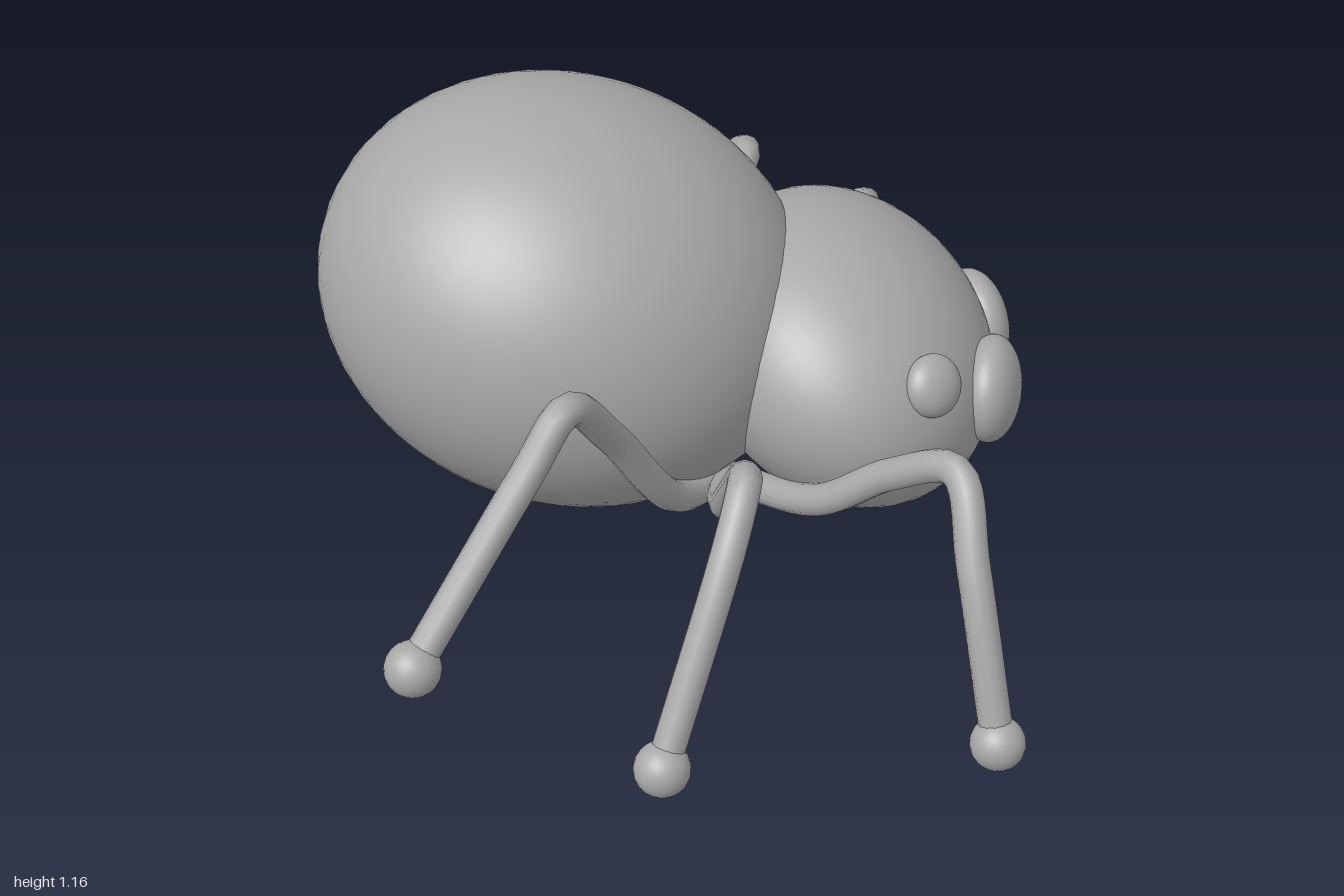
import * as THREE from 'three';

const V = (p) => new THREE.Vector3(...p);

export function createModel() {
  const spider = new THREE.Group();
  spider.name = 'spider';
  const grey = new THREE.MeshStandardMaterial({ color: 0xa8a8a8 });
  grey.name = 'body grey';

  const add = (name, geometry, parent = spider) => {
    const mesh = new THREE.Mesh(geometry, grey);
    mesh.name = name;
    parent.add(mesh);
    return mesh;
  };

  // Ellipsoid with its radii baked in, so normals stay smooth
  const ellipsoid = (name, radii, position) => {
    const geometry = new THREE.SphereGeometry(1, 48, 32).scale(...radii);
    const mesh = add(name, geometry);
    mesh.position.set(...position);
    return mesh;
  };

  // Body: two ovals tipped down towards the face (+x)
  ellipsoid('abdomen', [0.499, 0.414, 0.455], [-0.18, 0.735, -0.015]).rotation.z = -0.35;
  ellipsoid('head', [0.331, 0.268, 0.385], [0.37, 0.604, 0.005]).rotation.z = -0.64;

  // Eyes: flattened domes, each turned to look along its outward direction
  const eye = (name, position, outward, thick, radius) => {
    const mesh = ellipsoid(name, [thick, radius, radius], position);
    mesh.quaternion.setFromUnitVectors(new THREE.Vector3(1, 0, 0), V(outward).normalize());
  };
  eye('leftFrontEye', [0.655, 0.575, -0.118], [1, 0.08, -0.28], 0.06, 0.108);
  eye('rightFrontEye', [0.655, 0.592, 0.148], [1, 0.08, 0.28], 0.06, 0.108);
  eye('leftSideEye', [0.53, 0.645, -0.288], [0.6, 0.3, -0.75], 0.04, 0.062);
  eye('rightSideEye', [0.52, 0.705, 0.295], [0.55, 0.42, 0.72], 0.04, 0.062);

  // Legs: hip, thigh points, knee, shin, foot
  const legs = {
    rightRearLeg: [[0.13, 0.41, 0.18], [0.02, 0.5, 0.36], [-0.1, 0.74, 0.49],
      [-0.18, 0.885, 0.61], [-0.25, 0.8, 0.68], [-0.46, 0.505, 0.865]],
    rightMiddleLeg: [[0.13, 0.41, 0.18], [0.12, 0.51, 0.4], [0.135, 0.68, 0.57],
      [0.14, 0.775, 0.68], [0.11, 0.7, 0.77], [-0.015, 0.33, 0.948]],
    rightFrontLeg: [[0.13, 0.41, 0.18], [0.3, 0.5, 0.38], [0.43, 0.62, 0.46],
      [0.54, 0.69, 0.55], [0.565, 0.56, 0.67], [0.615, 0.245, 0.8]],
    leftRearLeg: [[0.13, 0.37, -0.18], [-0.03, 0.47, -0.38], [-0.2, 0.68, -0.5],
      [-0.32, 0.79, -0.58], [-0.42, 0.7, -0.63], [-0.68, 0.365, -0.755]],
    leftMiddleRearLeg: [[0.13, 0.37, -0.18], [-0.03, 0.48, -0.42], [-0.06, 0.66, -0.6],
      [-0.07, 0.725, -0.7], [-0.13, 0.63, -0.8], [-0.275, 0.28, -0.948]],
    leftMiddleFrontLeg: [[0.13, 0.37, -0.18], [0.12, 0.46, -0.42], [0.17, 0.58, -0.58],
      [0.21, 0.645, -0.68], [0.17, 0.55, -0.78], [0.06, 0.18, -0.948]],
    leftFrontLeg: [[0.13, 0.37, -0.18], [0.27, 0.44, -0.4], [0.38, 0.53, -0.5],
      [0.46, 0.575, -0.58], [0.48, 0.44, -0.65], [0.525, 0.055, -0.725]],
  };
  for (const [name, points] of Object.entries(legs)) {
    const leg = new THREE.Group();
    leg.name = name;
    const path = new THREE.CatmullRomCurve3(points.map(V), false, 'centripetal');
    add('legTube', new THREE.TubeGeometry(path, 48, 0.032, 12), leg);
    add('foot', new THREE.SphereGeometry(0.053, 24, 16), leg).position.set(...points[5]);
    spider.add(leg);
  }

  // Rounded joints where the legs meet under the body
  for (const [name, p] of [['rightHip', [0.13, 0.41, 0.18]], ['leftHip', [0.13, 0.37, -0.18]]]) {
    add(name, new THREE.SphereGeometry(0.036, 16, 12)).position.set(...p);
  }
  return spider;
}
